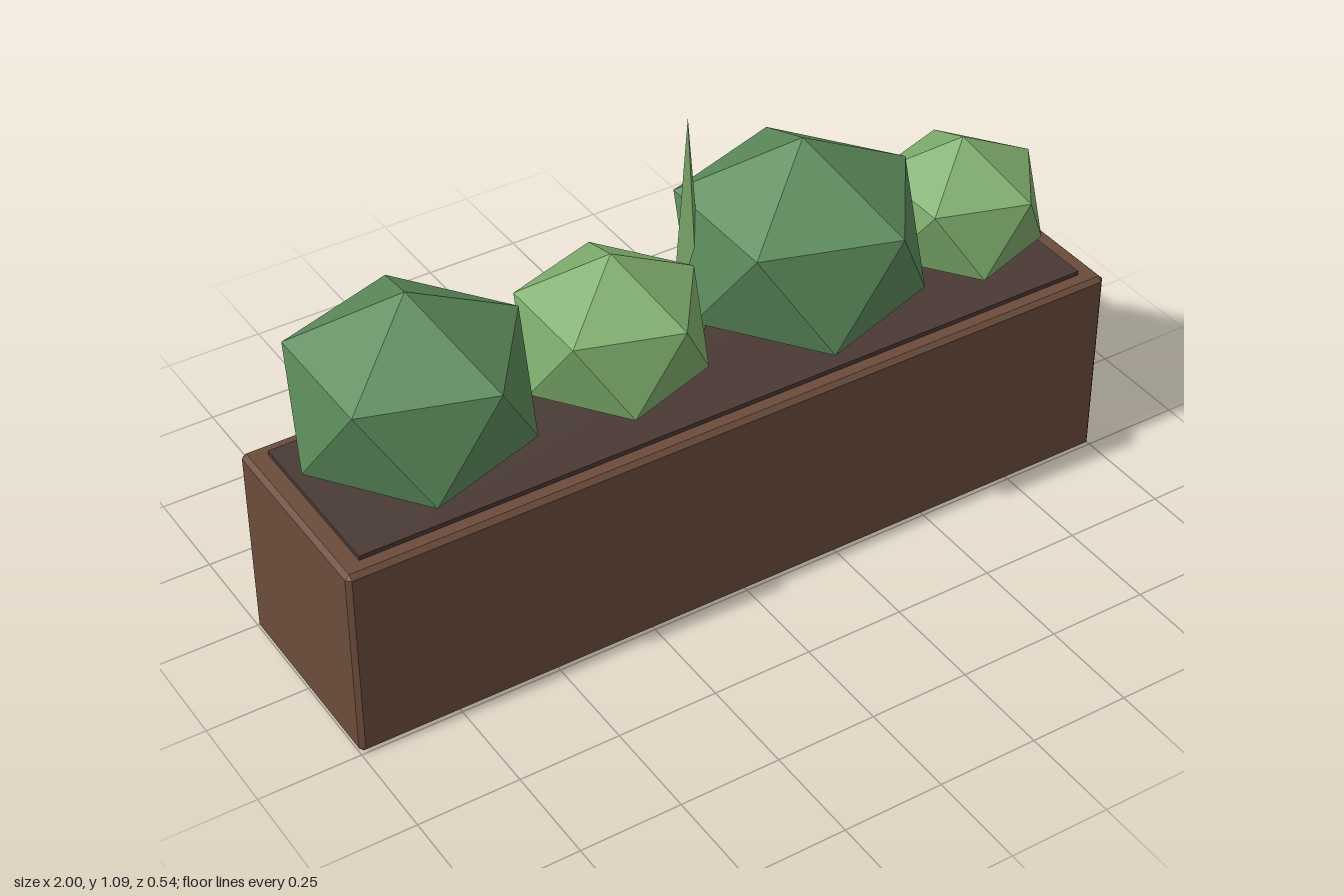
import * as THREE from 'three';
import { ConvexGeometry } from 'three/addons/geometries/ConvexGeometry.js';

const material = (name, color) => {
  const m = new THREE.MeshStandardMaterial({ color, flatShading: true });
  m.name = name;
  return m;
};

// Box with a small flat bevel along every edge, standing on y = 0
function bevelledBox(w, h, d, bevel) {
  const points = [];
  for (const sx of [-1, 1]) for (const sy of [-1, 1]) for (const sz of [-1, 1]) {
    for (let axis = 0; axis < 3; axis++) {
      const size = [w / 2, h / 2, d / 2].map((s, i) => (i === axis ? s : s - bevel));
      points.push(new THREE.Vector3(sx * size[0], sy * size[1] + h / 2, sz * size[2]));
    }
  }
  return new ConvexGeometry(points);
}

// Icosahedron with a corner straight up and an upper-ring corner towards +x
function shrubGeometry() {
  const points = [new THREE.Vector3(0, 1, 0), new THREE.Vector3(0, -1, 0)];
  const y = 1 / Math.sqrt(5), r = 2 * y;
  for (let i = 0; i < 5; i++) {
    const a = (i * Math.PI * 2) / 5;
    points.push(new THREE.Vector3(r * Math.cos(a), y, r * Math.sin(a)));
    points.push(new THREE.Vector3(-r * Math.cos(a), -y, -r * Math.sin(a)));
  }
  return new ConvexGeometry(points);
}

export function createModel() {
  const group = new THREE.Group();
  group.name = 'planter';
  const wood = material('wood', 0x6b4c3b);
  const soilBrown = material('soil', 0x4a3a35);
  const darkGreen = material('darkLeaf', 0x5b8a5a);
  const lightGreen = material('lightLeaf', 0x7fae6d);

  const add = (name, geometry, mat, x, y, z) => {
    const mesh = new THREE.Mesh(geometry, mat);
    mesh.name = name;
    mesh.position.set(x, y, z);
    group.add(mesh);
    return mesh;
  };

  // Trough and the soil slab standing slightly proud of it
  add('trough', bevelledBox(2, 0.5, 0.5, 0.011), wood, 0, 0, 0);
  add('soil', new THREE.BoxGeometry(1.9, 0.06, 0.42), soilBrown, 0, 0.481, 0);

  // Row of slightly flattened shrubs: x, radius, colour
  const geometry = shrubGeometry();
  const shrubs = [
    [-0.7, 0.3, darkGreen],
    [-0.2, 0.24, lightGreen],
    [0.3, 0.32, darkGreen],
    [0.75, 0.22, lightGreen],
  ];
  shrubs.forEach(([x, r, mat], i) => {
    add(`shrub${i + 1}`, geometry, mat, x, 0.5 + 0.7 * r, 0).scale.set(r, 0.85 * r, r);
  });

  // Thin pointed blade behind the shrubs
  add('grassBlade', new THREE.ConeGeometry(0.05, 0.6, 4), lightGreen, 0.05, 0.79, -0.08);

  return group;
}
